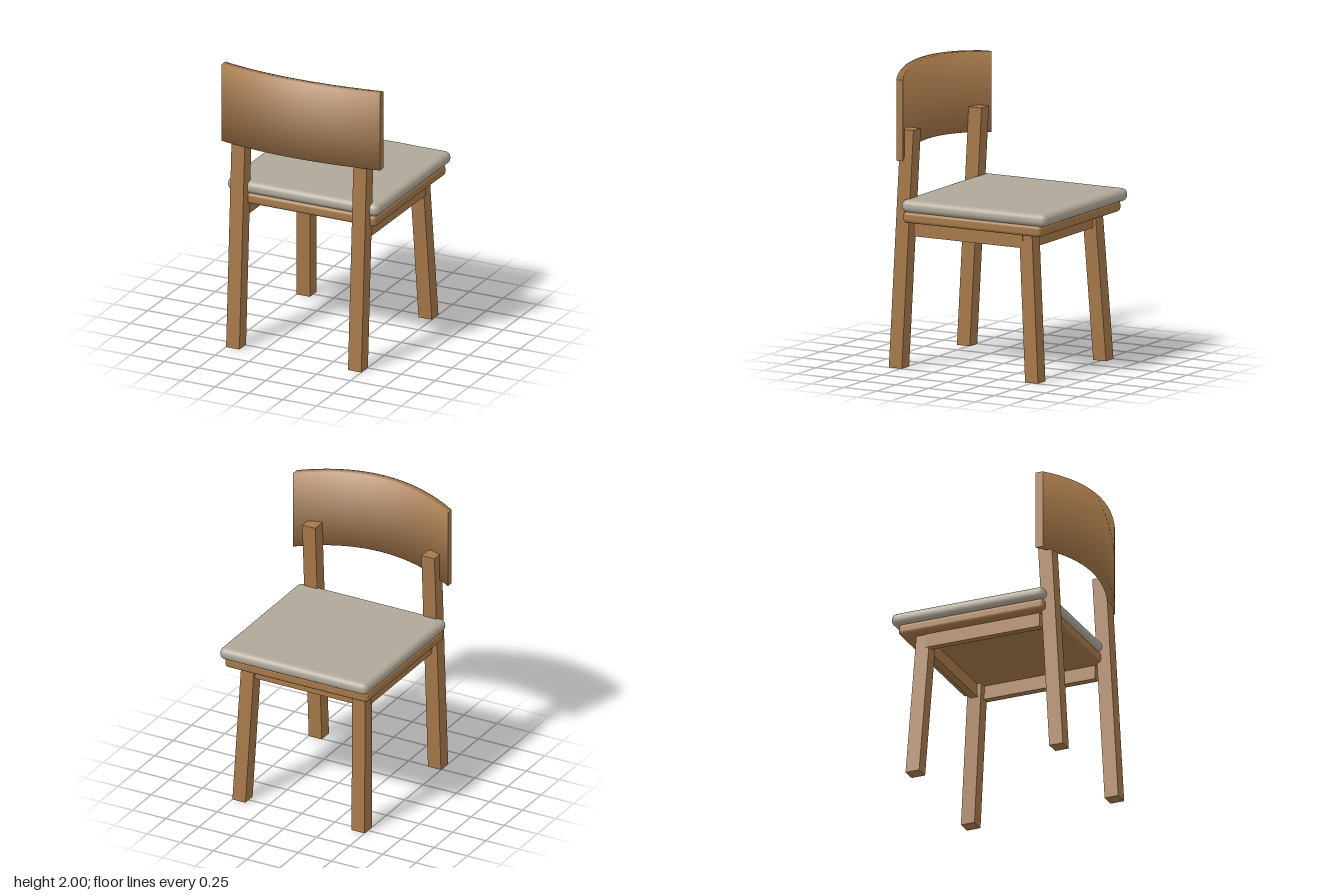
import * as THREE from 'three';
import { RoundedBoxGeometry } from 'three/addons/geometries/RoundedBoxGeometry.js';

// Square post whose foot and top are level but offset: [x, z] centres
function legGeometry(height, size, foot, top) {
  const g = new THREE.BoxGeometry(size, height, size);
  const p = g.attributes.position;
  for (let i = 0; i < p.count; i++) {
    const t = p.getY(i) / height + 0.5;
    p.setXYZ(i,
      p.getX(i) + THREE.MathUtils.lerp(foot[0], top[0], t),
      t * height,
      p.getZ(i) + THREE.MathUtils.lerp(foot[1], top[1], t));
  }
  g.computeVertexNormals();
  return g;
}

// Bowed board: a four-cornered section swept along x, soft along its long edges
function backrestGeometry(halfWidth, segments) {
  const pos = [], nor = [], idx = [];
  const section = (x) => {
    const k = (x / halfWidth) ** 2;
    const drop = 0.04 * k, z = 0.632 - 0.148 * k;
    return [[1.455, z], [2.0, z], [2.0, z - 0.052], [1.455, z - 0.052]]
      .map(([y, zz]) => [x, y - drop, zz]);
  };
  const n = new THREE.Vector3();
  for (let i = 0; i <= segments; i++) {
    const x = -halfWidth + (2 * halfWidth * i) / segments;
    const slope = (2 * 0.148 * x) / halfWidth ** 2;
    section(x).forEach((v, k) => {
      const out = k < 2 ? 1 : -1, up = k === 1 || k === 2 ? 1 : -1;
      n.set(slope, 0, 1).normalize().multiplyScalar(out);
      n.y = up;
      n.normalize();
      pos.push(...v);
      nor.push(n.x, n.y, n.z);
    });
  }
  for (let i = 0; i < segments; i++) {
    for (let k = 0; k < 4; k++) {
      const a = i * 4 + k, d = i * 4 + ((k + 1) % 4);
      idx.push(a, a + 4, d + 4, a, d + 4, d);
    }
  }
  // Flat end caps
  for (const s of [-1, 1]) {
    const b = pos.length / 3;
    for (const v of section(s * halfWidth)) {
      pos.push(...v);
      nor.push(s, 0, 0);
    }
    if (s < 0) idx.push(b, b + 1, b + 2, b, b + 2, b + 3);
    else idx.push(b, b + 2, b + 1, b, b + 3, b + 2);
  }
  const g = new THREE.BufferGeometry();
  g.setAttribute('position', new THREE.Float32BufferAttribute(pos, 3));
  g.setAttribute('normal', new THREE.Float32BufferAttribute(nor, 3));
  g.setIndex(idx);
  return g;
}

export function createModel() {
  const wood = new THREE.MeshStandardMaterial({ color: 0xa5784a });
  wood.name = 'wood';
  const fabric = new THREE.MeshStandardMaterial({ color: 0xb0a899 });
  fabric.name = 'cushionFabric';

  const chair = new THREE.Group();
  chair.name = 'chair';
  const add = (name, geometry, material, x = 0, y = 0, z = 0) => {
    const mesh = new THREE.Mesh(geometry, material);
    mesh.name = name;
    mesh.position.set(x, y, z);
    chair.add(mesh);
  };

  // Legs and side aprons, mirrored
  for (const [side, s] of [['left', 1], ['right', -1]]) {
    add(side + 'RearLeg', legGeometry(1.61, 0.098, [s * 0.45, 0.541], [s * 0.45, 0.452]), wood);
    add(side + 'FrontLeg', legGeometry(1.0, 0.098, [s * 0.45, -0.497], [s * 0.418, -0.433]), wood);
    add(side + 'Apron', new THREE.BoxGeometry(0.05, 0.105, 0.825), wood, s * 0.45, 0.9475, 0.0);
  }
  add('frontApron', new THREE.BoxGeometry(0.8, 0.105, 0.05), wood, 0, 0.9475, -0.44);

  // Seat
  add('seatPanel', new RoundedBoxGeometry(1.08, 0.077, 1.05, 4, 0.025), wood, 0, 1.029, -0.06);
  add('seatCushion', new RoundedBoxGeometry(1.118, 0.086, 1.105, 4, 0.04), fabric, 0, 1.106, -0.08);

  // Curved backrest
  add('backrest', backrestGeometry(0.585, 32), wood);

  return chair;
}
